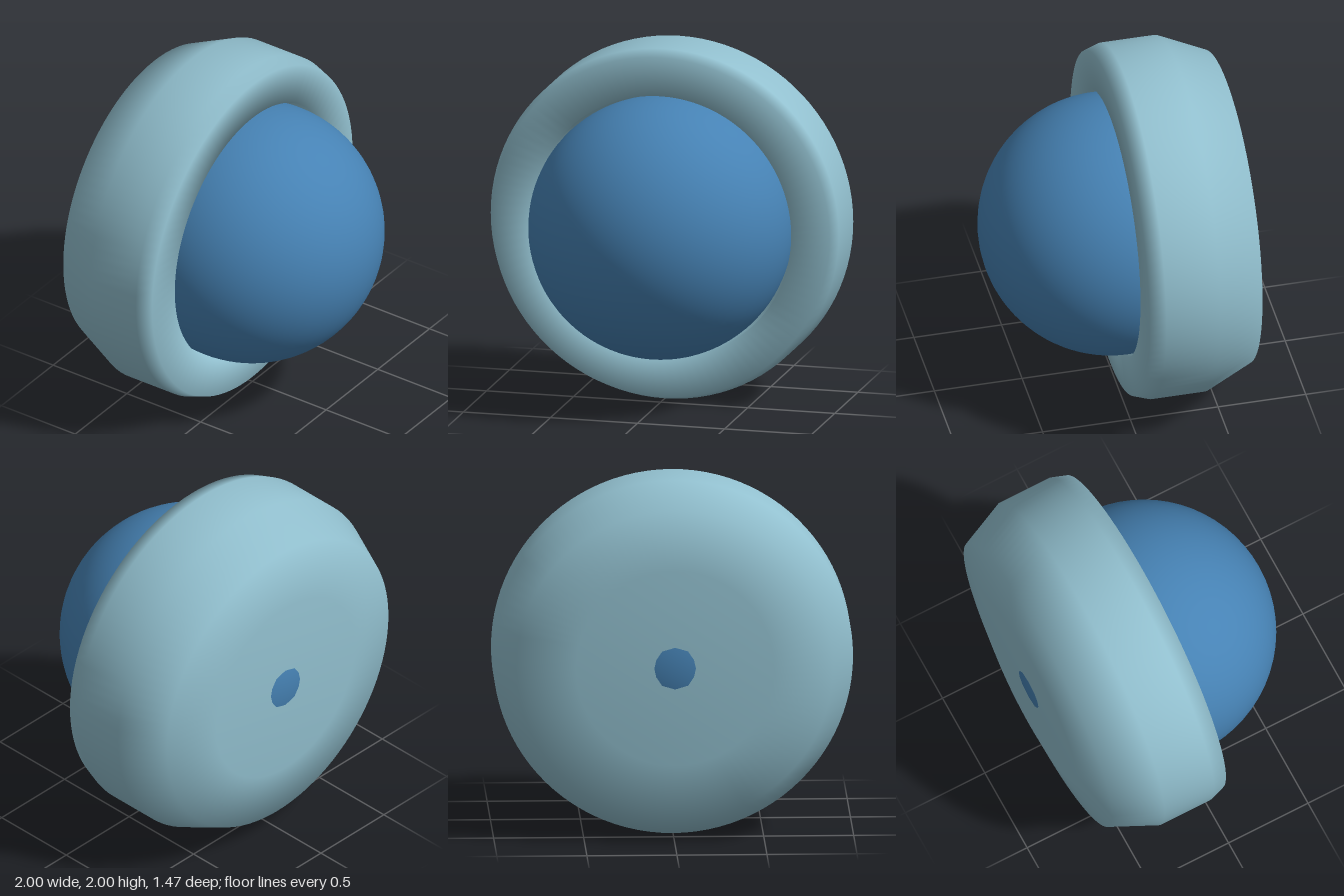
import * as THREE from 'three';

export function createModel() {
  const group = new THREE.Group();

  // Ball held by the housing, just poking through its back
  const ball = new THREE.Mesh(
    new THREE.SphereGeometry(0.735, 64, 48),
    new THREE.MeshStandardMaterial({ color: 0x4682b4 })
  );
  ball.name = 'ball';
  ball.position.y = 1;
  group.add(ball);

  // Round housing: [radius, z] from back centre, around the rim, into the socket
  const profile = [
    [0, -0.725], [0.55, -0.725], [0.88, -0.665], [1, -0.4],
    [1, -0.09], [0.97, 0], [0.75, 0], [0.75, -0.2], [0.68, -0.26],
  ].map(([r, z]) => new THREE.Vector2(r, z));
  const housing = new THREE.Mesh(
    new THREE.LatheGeometry(profile, 96).rotateX(Math.PI / 2),
    new THREE.MeshStandardMaterial({ color: 0x92c0cf, side: THREE.DoubleSide })
  );
  housing.name = 'housing';
  housing.position.y = 1;
  group.add(housing);

  return group;
}
